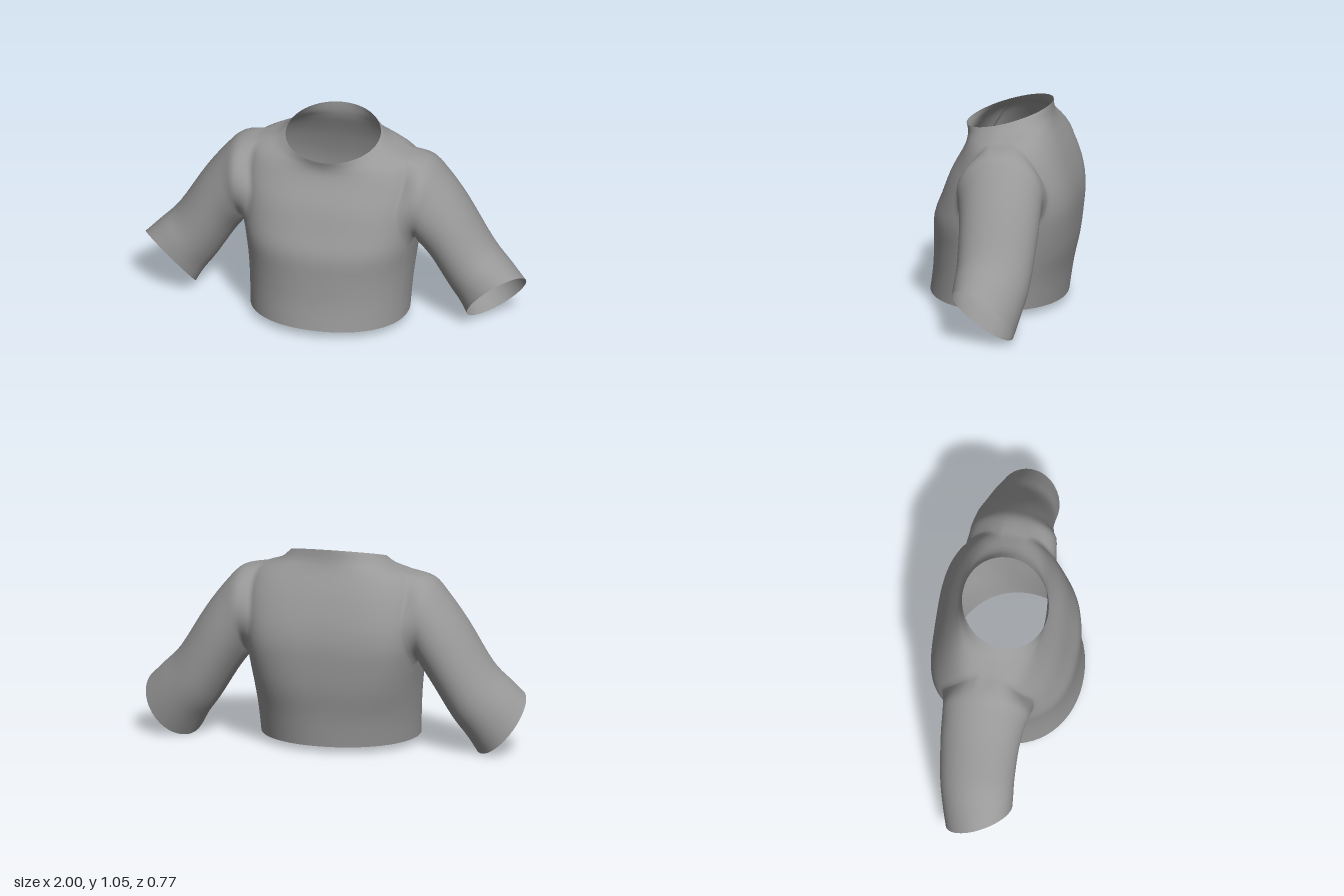
import * as THREE from 'three';
import { mergeGeometries, mergeVertices } from 'three/addons/utils/BufferGeometryUtils.js';

// Body rings from hem to collar: half width, side y, front y, front z, back y, back z,
// half angle of the armhole, front and back roundness (1 = ellipse), power of the rise to front and back
const BODY = [
  [0.41, 0.035, 0.045, 0.383, 0.03, -0.32, 0.3, 0.95, 0.95, 2],
  [0.415, 0.18, 0.18, 0.365, 0.18, -0.34, 0.3, 0.9, 0.85, 2],
  [0.425, 0.32, 0.32, 0.36, 0.32, -0.367, 0.3, 0.86, 0.72, 2],
  [0.44, 0.45, 0.45, 0.355, 0.46, -0.38, 0.3, 0.8, 0.62, 2], // underarm
  [0.45, 0.56, 0.56, 0.315, 0.57, -0.382, 0.55, 0.74, 0.58, 2],
  [0.455, 0.68, 0.68, 0.27, 0.68, -0.364, 0.66, 0.72, 0.6, 2],
  [0.455, 0.79, 0.77, 0.222, 0.8, -0.325, 0.56, 0.75, 0.68, 2],
  [0.43, 0.875, 0.82, 0.198, 0.88, -0.29, 0.42, 0.82, 0.78, 2],
  [0.385, 0.914, 0.855, 0.188, 0.94, -0.262, 0.27, 0.9, 0.88, 1.8], // shoulder top
  [0.3, 0.943, 0.888, 0.19, 0.99, -0.247, 0.27, 0.97, 0.97, 1.4],
  [0.245, 0.982, 0.92, 0.2, 1.045, -0.243, 0.27, 1, 1, 1],
];
const UNDERARM = 3, SHOULDER = 8, ROW_STEPS = 3;
const SIDE_COLS = 12, ARM_COLS = 10;

// Sleeve rings from shoulder to cuff: centre, upward radius, forward radius
const SLEEVE = [
  [[0.47, 0.675, -0.05], [0.025, 0.217, 0], [0, 0, 0.224]],
  [[0.52, 0.62, -0.058], [0.055, 0.195, 0], [0, 0, 0.213]],
  [[0.605, 0.505, -0.065], [0.08, 0.165, 0], [0, 0.01, 0.202]],
  [[0.72, 0.32, -0.06], [0.1, 0.133, 0], [-0.01, 0.03, 0.19]],
  [[0.8, 0.225, -0.045], [0.117, 0.125, 0], [-0.025, 0.055, 0.178]],
  [[0.86, 0.148, -0.03], [0.133, 0.125, 0], [-0.04, 0.08, 0.165]],
];
const SLEEVE_STEPS = 4;

// Smooth interpolation through a list of equal-length number arrays
function spline(keys, t) {
  const n = keys.length - 1;
  const i = Math.min(Math.floor(t), n - 1), f = t - i;
  const at = (k) => keys[Math.max(0, Math.min(n, k))];
  return keys[i].map((b, k) => {
    const a = at(i - 1)[k], c = at(i + 1)[k], d = at(i + 2)[k];
    return b + 0.5 * f * (c - a + f * (2 * a - 5 * b + 4 * c - d + f * (3 * (b - c) + d - a)));
  });
}

// Column angle: back centre, round the wearer's left side, to front centre
function columnAngle(i, arm) {
  const q = Math.PI / 2;
  if (i <= SIDE_COLS) return -q + (q - arm) * i / SIDE_COLS;
  if (i <= SIDE_COLS + ARM_COLS) return -arm + 2 * arm * (i - SIDE_COLS) / ARM_COLS;
  return arm + (q - arm) * (i - SIDE_COLS - ARM_COLS) / SIDE_COLS;
}

function bodyPoint(row, i) {
  const [w, yS, yF, zF, yB, zB, arm, roundF, roundB, rise] = spline(BODY, row / ROW_STEPS);
  const a = columnAngle(i, arm), c = Math.max(0, Math.cos(a)), s = Math.abs(Math.sin(a));
  const front = a > 0, round = front ? roundF : roundB;
  const y = yS + ((front ? yF : yB) - yS) * s ** rise;
  const z = (zF + zB) / 2 + (zF - zB) / 2 * (front ? 1 : -1) * s ** round;
  return [w * c ** round, y, z];
}

// Left half of the garment: body panel with an armhole, then the sleeve sewn to it
function buildHalf() {
  const pos = [], body = [], sleeve = [];
  const rows = (BODY.length - 1) * ROW_STEPS, cols = SIDE_COLS * 2 + ARM_COLS;
  const j0 = UNDERARM * ROW_STEPS, j1 = SHOULDER * ROW_STEPS;
  const i0 = SIDE_COLS, i1 = SIDE_COLS + ARM_COLS;
  const id = (j, i) => j * (cols + 1) + i;
  for (let j = 0; j <= rows; j++)
    for (let i = 0; i <= cols; i++) pos.push(bodyPoint(j, i));
  for (let j = 0; j < rows; j++)
    for (let i = 0; i < cols; i++) {
      if (j >= j0 && j < j1 && i >= i0 && i < i1) continue; // armhole
      const a = id(j, i), b = id(j, i + 1), c = id(j + 1, i), d = id(j + 1, i + 1);
      body.push(a, c, b, b, c, d);
    }

  // Armhole edge: over the top, down the front, under, up the back
  let ring = [];
  for (let i = i0; i <= i1; i++) ring.push(id(j1, i));
  for (let j = j1 - 1; j >= j0; j--) ring.push(id(j, i1));
  for (let i = i1 - 1; i >= i0; i--) ring.push(id(j0, i));
  for (let j = j0 + 1; j < j1; j++) ring.push(id(j, i0));

  // Each armhole point runs along its own smooth line to the cuff
  const lines = ring.map((v) => {
    const p = pos[v];
    const t = Math.atan2((p[2] + 0.045) / 0.23, (p[1] - 0.685) / 0.23);
    return [p, ...SLEEVE.map(([c, u, f]) =>
      c.map((n, k) => n + u[k] * Math.cos(t) + f[k] * Math.sin(t)))];
  });
  for (let s = 1; s <= SLEEVE.length * SLEEVE_STEPS; s++) {
    const next = lines.map((l) => pos.push(spline(l, s / SLEEVE_STEPS)) - 1);
    ring.forEach((a, k) => {
      const m = (k + 1) % ring.length;
      sleeve.push(a, ring[m], next[k], ring[m], next[m], next[k]);
    });
    ring = next;
  }
  return { pos, body, sleeve };
}

function toGeometry(pos, index) {
  const g = new THREE.BufferGeometry();
  g.setAttribute('position', new THREE.Float32BufferAttribute(pos.flat(), 3));
  g.setIndex(index);
  return g;
}

export function createModel() {
  const group = new THREE.Group();
  group.name = 'croppedShirt';
  const fabric = new THREE.MeshStandardMaterial({ color: 0x999999, side: THREE.DoubleSide });
  fabric.name = 'grey fabric';

  // Mirror the half, weld both and share the smooth normals over all seams
  const { pos, body, sleeve } = buildHalf();
  const flip = (list) => list.map((_, k) => list[k - (k % 3) + 2 - (k % 3)]);
  const left = toGeometry(pos, [...body, ...sleeve]);
  const right = toGeometry(pos.map(([x, y, z]) => [-x, y, z]), flip([...body, ...sleeve]));
  const whole = mergeVertices(mergeGeometries([left, right]), 1e-5);
  whole.computeVertexNormals();

  // Split into named parts
  const index = Array.from(whole.index.array);
  const nb = body.length, half = nb + sleeve.length;
  const parts = {
    body: [...index.slice(0, nb), ...index.slice(half, half + nb)],
    leftSleeve: index.slice(nb, half),
    rightSleeve: index.slice(half + nb),
  };
  for (const [name, faces] of Object.entries(parts)) {
    const g = whole.clone();
    g.setIndex(faces);
    const mesh = new THREE.Mesh(g.toNonIndexed(), fabric);
    mesh.name = name;
    group.add(mesh);
  }
  return group;
}
